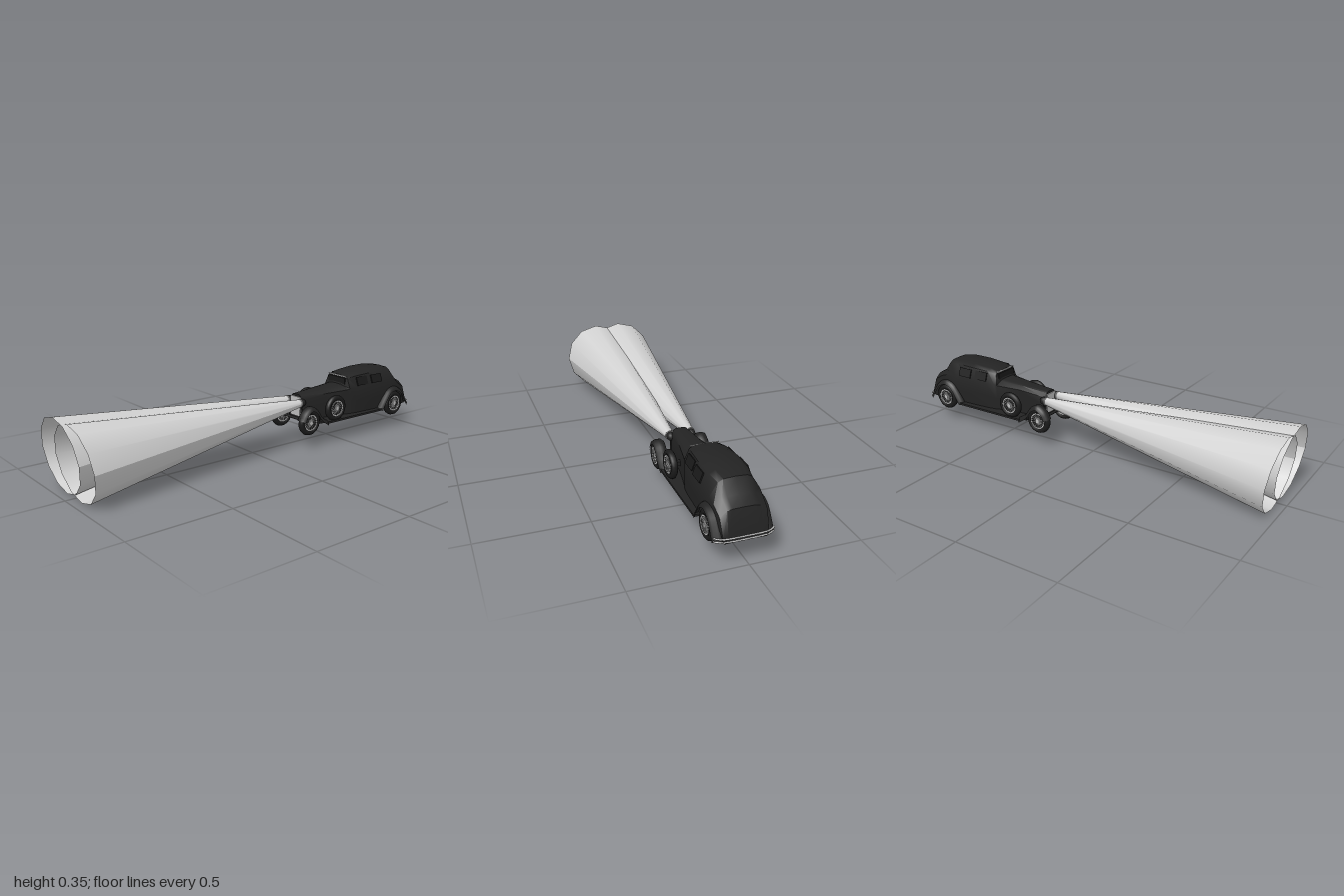
import * as THREE from 'three';
import { toCreasedNormals } from 'three/addons/utils/BufferGeometryUtils.js';

const mat = (name, color, side = THREE.FrontSide) => {
  const m = new THREE.MeshStandardMaterial({ color, side });
  m.name = name;
  return m;
};

// Skin a row of equal-length point rings; closed rings are capped at both ends.
function loft(rings, closed) {
  const n = rings[0].length, pos = rings.flat(2), idx = [];
  for (let r = 0; r < rings.length - 1; r++) {
    for (let i = 0; i < (closed ? n : n - 1); i++) {
      const a = r * n + i, b = r * n + (i + 1) % n;
      idx.push(a, a + n, b, b, a + n, b + n);
    }
  }
  if (closed) {
    const last = (rings.length - 1) * n;
    for (let i = 1; i < n - 1; i++) {
      idx.push(0, i, i + 1, last, last + i + 1, last + i);
    }
  }
  const g = new THREE.BufferGeometry();
  g.setAttribute('position', new THREE.Float32BufferAttribute(pos, 3));
  g.setIndex(idx);
  g.computeVertexNormals();
  return g;
}

export function createModel() {
  const black = mat('blackPaint', 0x232323);
  const wing = mat('blackWing', 0x232323, THREE.DoubleSide);
  const tyreMat = mat('rubber', 0x1b1b1b);
  const glass = mat('darkGlass', 0x191919);
  const chrome = mat('chrome', 0xbcbcbc);
  const light = mat('lightBeam', 0xd2d2d2, THREE.DoubleSide);

  const model = new THREE.Group();
  const car = new THREE.Group();
  car.name = 'car';
  car.position.x = 0.016;
  model.add(car);
  const add = (parent, name, geo, material, x = 0, y = 0, z = 0) => {
    const m = new THREE.Mesh(geo, material);
    m.name = name;
    m.position.set(x, y, z);
    parent.add(m);
    return m;
  };

  // Bonnet, cabin and sloping tail: z, sill width, belt width, belt y, roof width, roof y, bottom y
  const stations = [
    [-0.27, 0.04, 0.042, 0.235, 0.03, 0.262, 0.14],
    [-0.42, 0.055, 0.058, 0.25, 0.037, 0.27, 0.12],
    [-0.55, 0.082, 0.085, 0.255, 0.05, 0.276, 0.12],
    [-0.562, 0.088, 0.09, 0.26, 0.07, 0.322, 0.12],
    [-0.61, 0.095, 0.098, 0.26, 0.078, 0.333, 0.12],
    [-0.71, 0.1, 0.107, 0.26, 0.086, 0.339, 0.12],
    [-0.81, 0.103, 0.11, 0.26, 0.083, 0.339, 0.12],
    [-0.873, 0.1, 0.108, 0.258, 0.073, 0.33, 0.12],
    [-0.91, 0.098, 0.104, 0.245, 0.07, 0.272, 0.12],
    [-0.962, 0.095, 0.1, 0.215, 0.07, 0.245, 0.115],
    [-0.993, 0.09, 0.096, 0.135, 0.075, 0.15, 0.115],
  ];
  const bodyRings = stations.map(([z, ws, wb, yb, wr, yr, y0]) => {
    const half = [[ws, y0], [wb, (y0 + yb) / 2], [wb, yb],
      [wr, yr - (yr - yb) * 0.2], [wr * 0.7, yr - (yr - yb) * 0.04]];
    return [
      ...half.map(([x, y]) => [x, y, z]),
      [0, yr, z],
      ...half.slice().reverse().map(([x, y]) => [-x, y, z]),
    ];
  });
  add(car, 'body', toCreasedNormals(loft(bodyRings, true), 0.75), black);
  add(car, 'floor', new THREE.BoxGeometry(0.2, 0.012, 0.5), black, 0, 0.119, -0.6);

  // Radiator, windscreen and its rails
  add(car, 'radiator', new THREE.BoxGeometry(0.07, 0.1, 0.008), chrome, 0, 0.2, -0.268);
  add(car, 'windscreen', new THREE.BoxGeometry(0.12, 0.032, 0.008), glass, 0, 0.295, -0.556);
  add(car, 'windscreenRail', new THREE.BoxGeometry(0.13, 0.004, 0.006), chrome, 0, 0.318, -0.559);

  // Axles
  for (const z of [-0.265, -0.874]) {
    const axle = add(car, 'axle', new THREE.CylinderGeometry(0.007, 0.007, 0.2, 8), black, 0, 0.137, z);
    axle.rotation.z = Math.PI / 2;
  }

  // Wheel facing +x with wire spokes
  const makeWheel = (name, x, y, z, side) => {
    const w = new THREE.Group();
    w.name = name;
    const tyre = add(w, 'tyre', new THREE.TorusGeometry(0.052, 0.014, 10, 28), tyreMat);
    const disc = add(w, 'wheelDisc', new THREE.CylinderGeometry(0.045, 0.045, 0.012, 24), tyreMat);
    disc.rotation.x = Math.PI / 2;
    for (const s of [1, -1]) {
      const rim = add(w, 'rim', new THREE.RingGeometry(0.034, 0.042, 24), chrome, 0, 0, s * 0.0135);
      if (s < 0) rim.rotation.y = Math.PI;
      for (let i = 0; i < 18; i++) {
        const a = (i / 18) * Math.PI * 2;
        const spoke = add(w, 'spoke', new THREE.BoxGeometry(0.026, 0.003, 0.003), chrome,
          Math.cos(a) * 0.024, Math.sin(a) * 0.024, s * 0.0105);
        spoke.rotation.z = a;
      }
      const hub = add(w, 'hub', new THREE.CylinderGeometry(0.012, 0.012, 0.008, 12), chrome, 0, 0, s * 0.012);
      hub.rotation.x = Math.PI / 2;
    }
    tyre.scale.z = 1.1;
    w.rotation.y = side * Math.PI / 2;
    w.position.set(x, y, z);
    car.add(w);
  };

  // Crowned mudguard swept along a side path of [z, y]
  const makeFender = (path, side) => {
    const pts = new THREE.CatmullRomCurve3(path.map(([z, y]) => new THREE.Vector3(0, y, z))).getPoints(20);
    const cross = [[0.078, -0.012], [0.09, -0.002], [0.108, 0], [0.124, -0.006], [0.131, -0.022]];
    const rings = pts.map((p, i) => {
      const t = pts[Math.min(i + 1, 20)].clone().sub(pts[Math.max(i - 1, 0)]).normalize();
      return cross.map(([x, d]) => [side * x, p.y - t.z * d, p.z + t.y * d]);
    });
    return loft(rings, false);
  };
  const frontPath = [[-0.2, 0.155], [-0.225, 0.195], [-0.268, 0.218], [-0.31, 0.2], [-0.345, 0.155], [-0.39, 0.124]];
  const rearPath = [[-0.76, 0.122], [-0.785, 0.165], [-0.825, 0.215], [-0.874, 0.23], [-0.925, 0.21], [-0.96, 0.165], [-0.985, 0.125]];

  for (const side of [1, -1]) {
    makeWheel('frontWheel', side * 0.106, 0.137, -0.265, side);
    makeWheel('rearWheel', side * 0.11, 0.137, -0.874, side);
    makeWheel('spareWheel', side * 0.108, 0.182, -0.442, side);
    add(car, 'frontFender', makeFender(frontPath.map(([z, y]) => [z, y]), side), wing);
    add(car, 'rearFender', makeFender(rearPath, side), wing);
    add(car, 'runningBoard', new THREE.BoxGeometry(0.05, 0.01, 0.4), black, side * 0.105, 0.12, -0.575);
    add(car, 'spareMount', new THREE.BoxGeometry(0.05, 0.02, 0.02), black, side * 0.075, 0.18, -0.442);

    // Side windows lying on the leaning upper cabin
    for (const [z, x] of [[-0.645, 0.095], [-0.745, 0.102]]) {
      const win = add(car, 'sideWindow', new THREE.BoxGeometry(0.006, 0.045, 0.075), glass, side * x, 0.292, z);
      win.rotation.z = side * 0.35;
    }

    // Headlamp bowl with chrome rim, and its stalk
    const lamp = add(car, 'headlamp', new THREE.SphereGeometry(0.02, 14, 10), black, side * 0.049 - 0.006, 0.224, -0.268);
    lamp.scale.z = 1.2;
    add(car, 'headlampRim', new THREE.TorusGeometry(0.02, 0.003, 6, 16), chrome, side * 0.049 - 0.006, 0.224, -0.256);
    add(car, 'headlampStalk', new THREE.CylinderGeometry(0.005, 0.005, 0.07, 6), black, side * 0.049 - 0.006, 0.18, -0.272);

    // Open beam flaring forward and dipping toward the ground
    const ring = (cx, cy, cz, r, lean) => Array.from({ length: 13 }, (_, i) => {
      const a = (i / 12) * Math.PI * 2;
      return [cx + r * Math.cos(a), cy + r * Math.sin(a), cz + lean * Math.sin(a)];
    });
    add(model, 'headlightBeam', loft([
      ring(side * 0.067, 0.177, 0.978, 0.175, 0.022),
      ring(side * 0.049 + 0.01, 0.224, -0.255, 0.02, 0.003),
    ], false), light);
  }

  // Curved twin-bar rear bumper
  for (const y of [0.122, 0.136]) {
    const curve = new THREE.CatmullRomCurve3([
      [-0.128, -0.972], [-0.1, -0.99], [0, -0.996], [0.1, -0.99], [0.128, -0.972],
    ].map(([x, z]) => new THREE.Vector3(x, y, z)));
    add(car, 'rearBumper', new THREE.TubeGeometry(curve, 20, 0.004, 6), chrome);
  }
  return model;
}
